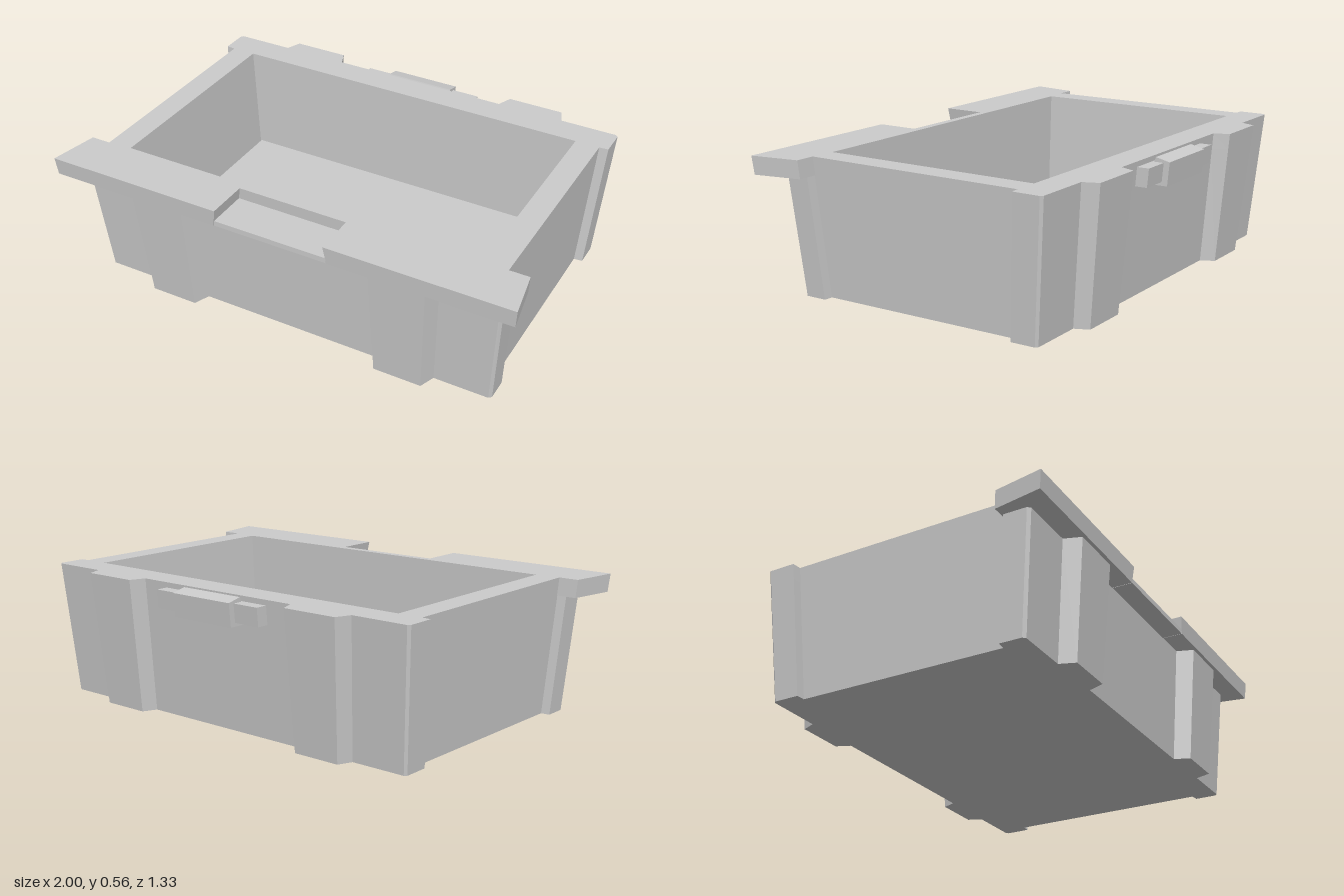
import * as THREE from 'three';

const RIM_Y = 0.49;
const material = new THREE.MeshStandardMaterial({ color: 0xcccccc, flatShading: true });
const topY = z => 0.5605 + 0.006 * z; // the top falls slightly to the back

// Plan half outlines as [x, z], from back centre to front centre
const back = [
  [0.385, -0.595], [0.41, -0.658], [0.645, -0.658], [0.67, -0.595],
  [0.91, -0.595], [0.92, -0.585], [0.92, -0.473], [0.882, -0.47],
];
const bodyFront = [
  [0.882, 0.466], [0.92, 0.47], [0.92, 0.568], [0.908, 0.58], [0.67, 0.58],
  [0.645, 0.65], [0.41, 0.65], [0.385, 0.58],
];
const lipFront = [[0.882, 0.463], [0.965, 0.463], [1, 0.665], [0.235, 0.665], [0.235, 0.487]];
const HOLE = { x: 0.78, back: -0.47, front: 0.455 };

const mirrored = half => [...half, ...half.map(([x, z]) => [-x, z]).reverse()];
const toVectors = pts => pts.map(([x, z]) => new THREE.Vector2(x, -z));

// Outside walls lean in towards the base, the inner rib edges stay almost
// upright, and the cavity leans in only at its ends
function taper(geometry) {
  const p = geometry.attributes.position;
  for (let i = 0; i < p.count; i++) {
    const x = p.getX(i), y = p.getY(i), z = p.getZ(i);
    const drop = 1 - y / 0.56;
    const inner = Math.abs(Math.abs(x) - HOLE.x) < 1e-4;
    const lean = inner ? 0.032 : Math.abs(x) < 0.45 ? -0.012 : 0.043;
    p.setX(i, x * (1 - lean * drop));
    if (!inner) p.setZ(i, z * (1 - 0.08 * drop));
  }
  geometry.computeVertexNormals();
  return geometry;
}

// Upright ring with the rectangular cavity through it
function ring(half, y0, y1) {
  const shape = new THREE.Shape(toVectors(mirrored(half)));
  const { x, back: b, front: f } = HOLE;
  // the hole runs the opposite way round to the outline
  shape.holes.push(new THREE.Path(toVectors([[-x, f], [x, f], [x, b], [-x, b]])));
  const g = new THREE.ExtrudeGeometry(shape, { depth: y1 - y0, bevelEnabled: false });
  return g.rotateX(-Math.PI / 2).translate(0, y0, 0);
}

// Bar along x with a [z, y] cross-section
function bar(halfWidth, profile) {
  const shape = new THREE.Shape(profile.map(([z, y]) => new THREE.Vector2(z, y)));
  const g = new THREE.ExtrudeGeometry(shape, { depth: 2 * halfWidth, bevelEnabled: false });
  return g.translate(0, 0, -halfWidth).rotateY(-Math.PI / 2);
}
const rect = (z0, z1, y0, y1) => [[z0, y0], [z1, y0], [z1, y1], [z0, y1]];

export function createModel() {
  const group = new THREE.Group();
  group.name = 'storageTray';
  const add = (name, geometry) => {
    const mesh = new THREE.Mesh(geometry, material);
    mesh.name = name;
    group.add(mesh);
  };

  // Ribbed walls and floor
  add('ribbedWalls', taper(ring([...back, ...bodyFront], 0, RIM_Y)));
  add('floor', bar(HOLE.x * 0.968, rect(HOLE.back, HOLE.front, 0, 0.1)));

  // Rim with the overhanging front lip; the notch widens downwards
  const rim = ring([...back, ...lipFront], RIM_Y, 0.56);
  const p = rim.attributes.position;
  for (let i = 0; i < p.count; i++) {
    if (p.getY(i) > 0.55) p.setY(i, topY(p.getZ(i)));
    else if (Math.abs(p.getX(i)) < 0.3) p.setX(i, p.getX(i) * 1.05);
  }
  add('rimAndLip', taper(rim));
  add('notchFloor', bar(0.245, rect(0.475, 0.658, RIM_Y, 0.512)));

  // Catch on the back wall, its block sloping down outwards
  add('catchBar', taper(bar(0.265, rect(-0.646, -0.57, 0.46, 0.535))));
  add('catchBlock', taper(bar(0.148,
    [[-0.671, 0.445], [-0.58, 0.445], [-0.61, 0.554], [-0.671, 0.54]])));

  return group;
}
